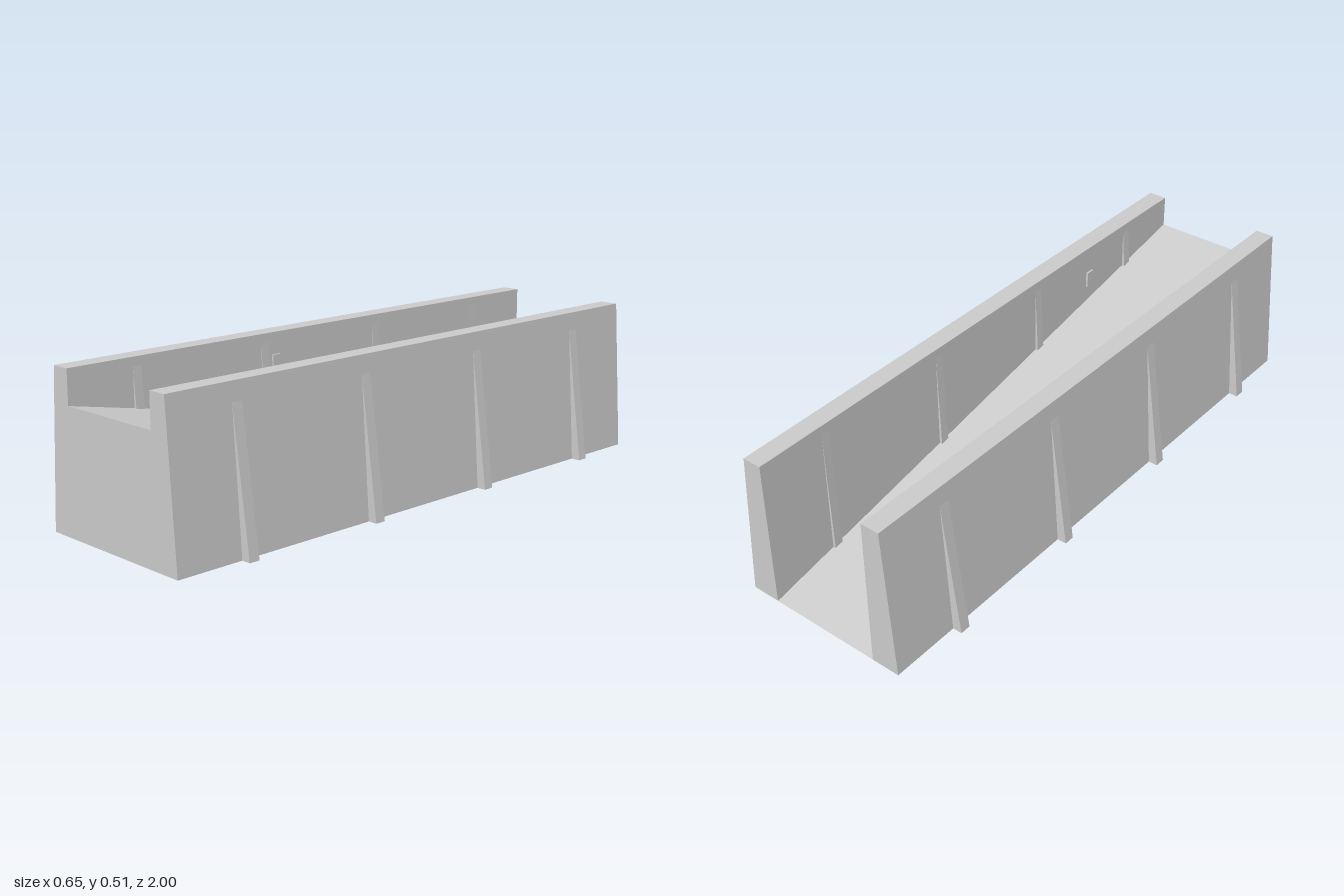
import * as THREE from 'three';

const INNER = 0.194, FLOOR_HIGH = 0.4, RIB_WIDTH = 0.036;
const solid = new THREE.MeshStandardMaterial({ color: 0xcccccc, flatShading: true });
const sheet = new THREE.MeshStandardMaterial({ color: 0xcccccc, flatShading: true, side: THREE.DoubleSide });

// Height of the sloping floor at a given z
const floorY = (z) => FLOOR_HIGH * (z + 1) / 2;

// Prism: an xy outline (mirrored by side) extruded along z around zc
function prism(name, points, side, length, zc) {
  const shape = new THREE.Shape(points.map(([x, y]) => new THREE.Vector2(x * side, y)));
  const geo = new THREE.ExtrudeGeometry(shape, { depth: length, bevelEnabled: false });
  geo.translate(0, 0, zc - length / 2);
  const mesh = new THREE.Mesh(geo, solid);
  mesh.name = name;
  return mesh;
}

export function createModel() {
  const group = new THREE.Group();
  group.name = 'rampChannel';

  for (const side of [1, -1]) {
    const label = side > 0 ? 'left' : 'right';
    // Side wall with a sloped outer face
    group.add(prism(label + 'Wall',
      [[INNER, 0], [0.292, 0], [0.258, 0.51], [INNER, 0.51]], side, 2, 0));

    for (const z of [-0.745, -0.245, 0.255, 0.755]) {
      // Outer buttress tapering up into the wall
      group.add(prism(label + 'OuterRib',
        [[0.28, 0], [0.324, 0], [0.262, 0.45], [0.255, 0.45]], side, RIB_WIDTH, z));
      // Inner rib tapering up from the floor
      const y = floorY(z - RIB_WIDTH / 2);
      group.add(prism(label + 'InnerRib',
        [[0.2, y], [0.184, y], [INNER, 0.48], [0.2, 0.48]], side, RIB_WIDTH * 0.85, z));
    }
  }

  // Small blocks on the inner wall faces
  for (const [side, y, z] of [[-1, 0.41, 0.21], [1, 0.39, 0.54]]) {
    const block = new THREE.Mesh(new THREE.BoxGeometry(0.014, 0.055, 0.032), solid);
    block.name = 'wallBlock';
    block.position.set(side * INNER, y, z);
    group.add(block);
  }

  // Sloping floor, open underneath
  const floorGeo = new THREE.PlaneGeometry(2 * INNER, 2).rotateX(-Math.PI / 2);
  const pos = floorGeo.attributes.position;
  for (let i = 0; i < pos.count; i++) pos.setY(i, floorY(pos.getZ(i)));
  floorGeo.computeVertexNormals();
  const floor = new THREE.Mesh(floorGeo, sheet);
  floor.name = 'rampFloor';
  group.add(floor);

  // Front plate under the high end of the floor
  const plate = new THREE.Mesh(new THREE.PlaneGeometry(2 * INNER, FLOOR_HIGH), sheet);
  plate.name = 'frontPlate';
  plate.position.set(0, FLOOR_HIGH / 2, 1);
  group.add(plate);

  return group;
}
